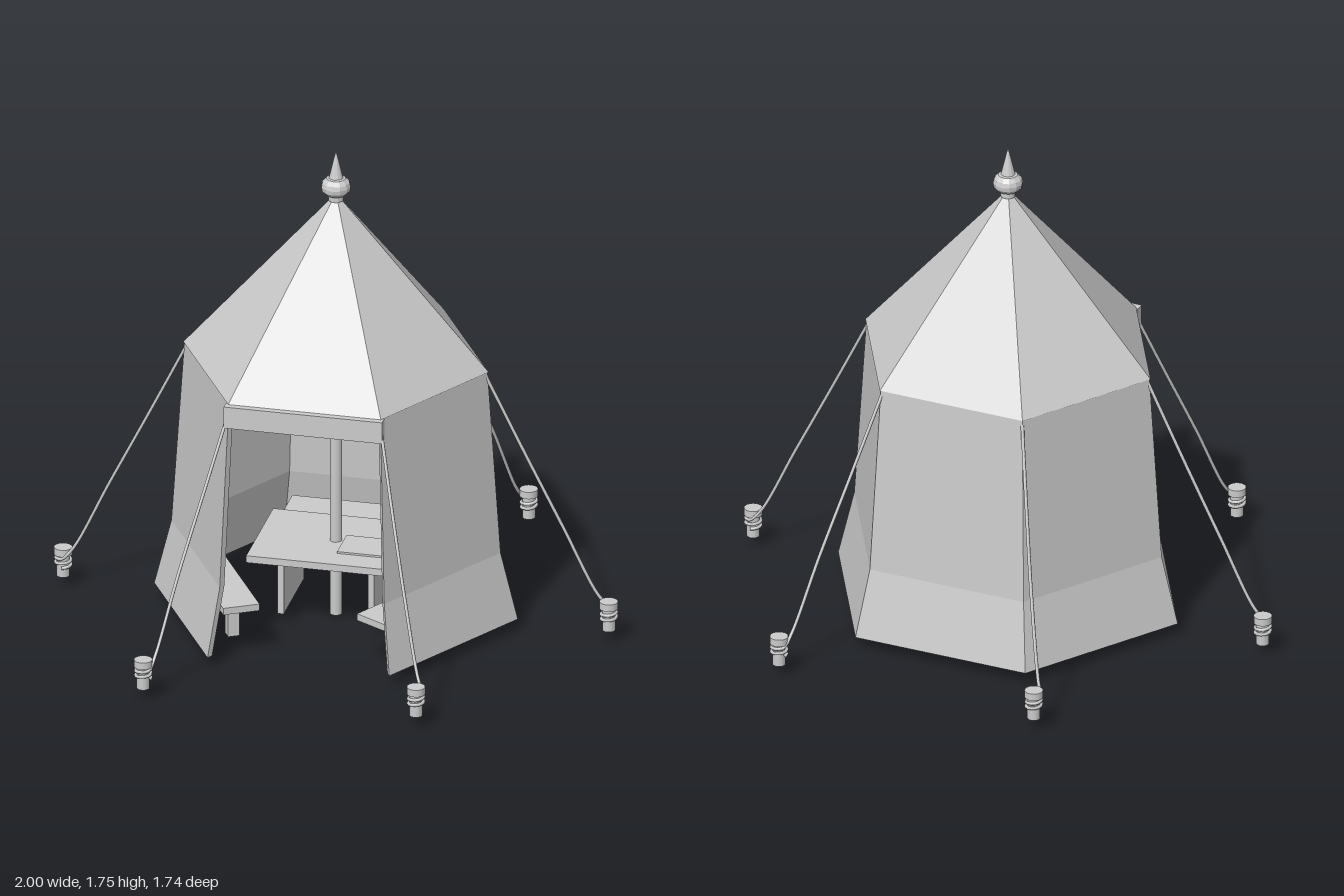
import * as THREE from 'three';

const flat = new THREE.MeshStandardMaterial({ color: 0xcccccc, flatShading: true, side: THREE.DoubleSide });
const smooth = new THREE.MeshStandardMaterial({ color: 0xcccccc });
const DEG = Math.PI / 180;

function add(parent, name, geometry, x = 0, y = 0, z = 0, material = flat) {
  const mesh = new THREE.Mesh(geometry, material);
  mesh.name = name;
  mesh.position.set(x, y, z);
  parent.add(mesh);
  return mesh;
}

const box = (w, h, d) => new THREE.BoxGeometry(w, h, d);
const points = (list) => list.map(([x, y]) => new THREE.Vector2(x, y));

// Five cloth walls around a hexagon, open at the front
function addWalls(parent) {
  const t = 0.023;
  const outer = [[0.643, 0.045], [0.582, 0.29], [0.536, 0.97]];
  const inner = outer.map(([x, y]) => [x - t, y]).reverse();
  const profile = [...outer, ...inner];
  add(parent, 'clothWalls', new THREE.LatheGeometry(points([...profile, outer[0]]), 5, 30 * DEG, 300 * DEG));
  // Cut edges on both sides of the doorway
  for (const side of [-1, 1]) {
    const edge = add(parent, 'doorEdge', new THREE.ShapeGeometry(new THREE.Shape(points(profile))));
    edge.rotation.y = (-90 + side * 30) * DEG;
  }
}

// Seat board on two legs, standing along one wall
function addBench(parent, angle) {
  const bench = new THREE.Group();
  bench.name = 'bench';
  bench.rotation.y = angle * DEG;
  add(bench, 'benchSeat', box(0.54, 0.025, 0.13), 0, 0.187, 0.42);
  for (const x of [-0.16, 0.16]) add(bench, 'benchLeg', box(0.035, 0.13, 0.04), x, 0.11, 0.42);
  parent.add(bench);
}

// Table around the pole, on two upright boards
function addTable(parent) {
  const table = new THREE.Group();
  table.name = 'table';
  add(table, 'tableTop', box(0.54, 0.026, 0.4), 0, 0.264, 0);
  for (const x of [-0.16, 0.16]) add(table, 'tableLegBoard', box(0.022, 0.205, 0.3), x, 0.149, 0);
  add(table, 'sheet', box(0.19, 0.007, 0.14), 0.125, 0.281, 0.04);
  parent.add(table);
}

// Peg with a rope from the eave wound around it
function addGuyLine(parent, angle) {
  const guy = new THREE.Group();
  guy.name = 'guyLine';
  guy.rotation.y = angle * DEG;
  const px = 0.965;
  add(guy, 'peg', new THREE.CylinderGeometry(0.023, 0.023, 0.085, 12), px, 0.0825, 0, smooth);
  add(guy, 'pegCap', new THREE.CylinderGeometry(0.032, 0.032, 0.026, 16), px, 0.134, 0, smooth);
  const path = [
    new THREE.Vector3(0.53, 0.955, 0),
    new THREE.Vector3(0.66, 0.69, -0.003),
    new THREE.Vector3(0.8, 0.41, -0.008),
    new THREE.Vector3(0.925, 0.155, -0.02),
  ];
  const steps = 16;
  for (let i = 0; i <= steps; i++) {
    const a = -Math.PI / 2 + (i / steps) * Math.PI * 4;
    path.push(new THREE.Vector3(px + 0.027 * Math.cos(a), 0.112 - 0.035 * i / steps, 0.027 * Math.sin(a)));
  }
  add(guy, 'rope', new THREE.TubeGeometry(new THREE.CatmullRomCurve3(path), 100, 0.006, 6), 0, 0, 0, smooth);
  parent.add(guy);
}

export function createModel() {
  const tent = new THREE.Group();
  tent.name = 'tent';

  addWalls(tent);

  // Six-sided roof with a thin underside
  add(tent, 'roof', new THREE.LatheGeometry(
    points([[0.54, 0.97], [0, 1.59], [0, 1.56], [0.513, 0.968], [0.54, 0.97]]), 6, 30 * DEG));

  // Valance above the doorway
  add(tent, 'doorValance', box(0.56, 0.08, 0.035), 0, 0.93, 0.474);

  // Centre pole and finial
  add(tent, 'centrePole', new THREE.CylinderGeometry(0.022, 0.022, 1.56, 12), 0, 0.78, 0, smooth);
  add(tent, 'finial', new THREE.LatheGeometry(points([
    [0, 1.56], [0.026, 1.565], [0.026, 1.588], [0.036, 1.588], [0.05, 1.603], [0.052, 1.618],
    [0.048, 1.633], [0.034, 1.648], [0.025, 1.65], [0, 1.752],
  ]), 12));

  addTable(tent);
  for (const angle of [60, -60, 180]) addBench(tent, angle);
  for (let i = 0; i < 6; i++) addGuyLine(tent, i * 60);

  return tent;
}
